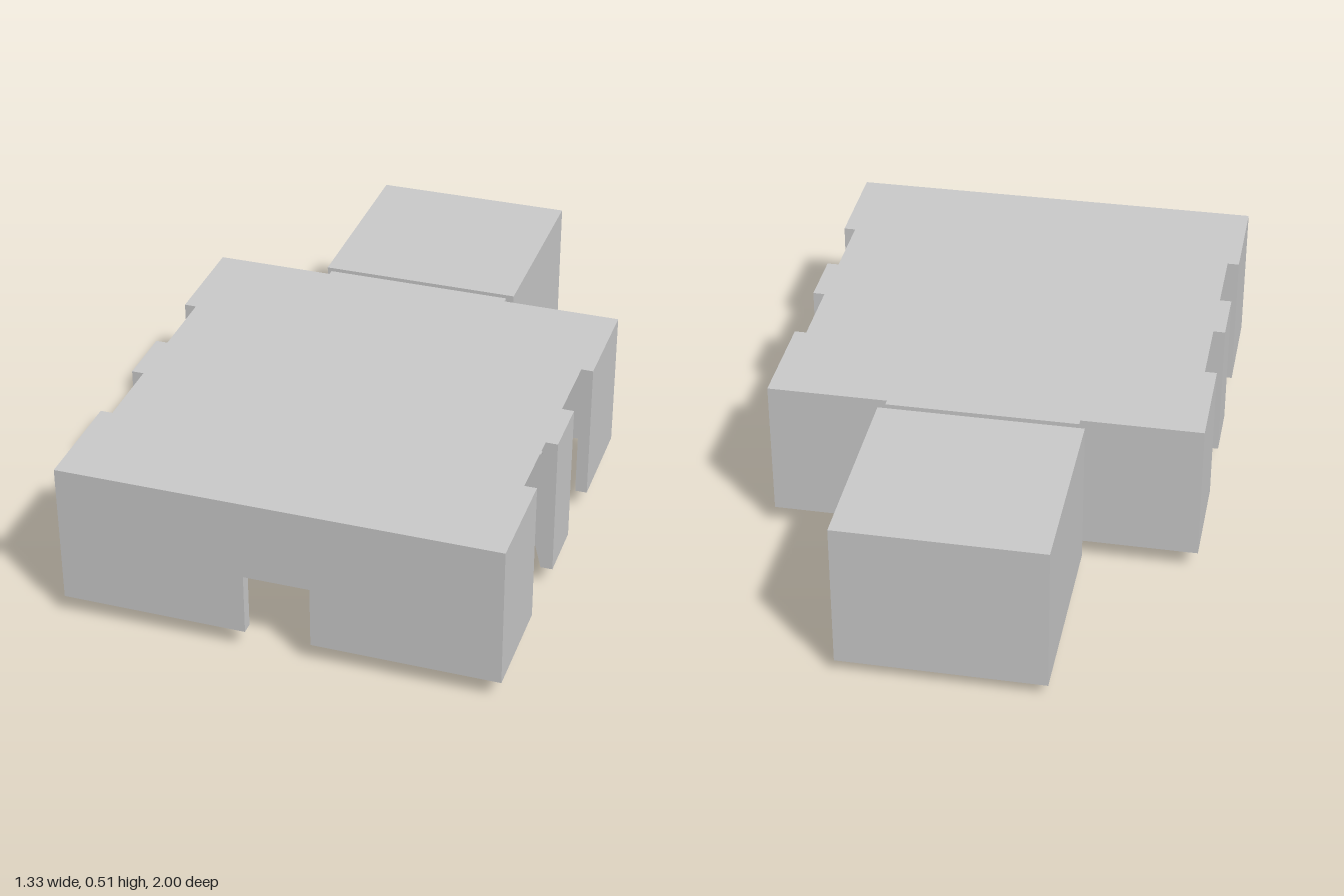
import * as THREE from 'three';

const material = new THREE.MeshStandardMaterial({ color: 0xcccccc, flatShading: true });
const thinMaterial = new THREE.MeshStandardMaterial({ color: 0xcccccc, side: THREE.DoubleSide });

const HALF = 0.667, WALL = 0.037, LOW = 0.065, TOP = 0.51;
const FRONT = 1, BACK = -0.333;

function add(parent, name, geometry, mat = material) {
  const mesh = new THREE.Mesh(geometry, mat);
  mesh.name = name;
  parent.add(mesh);
  return mesh;
}

// Box given by its limits on each axis
function block(parent, name, [x0, x1], [y0, y1], [z0, z1]) {
  const mesh = add(parent, name, new THREE.BoxGeometry(x1 - x0, y1 - y0, z1 - z0));
  mesh.position.set((x0 + x1) / 2, (y0 + y1) / 2, (z0 + z1) / 2);
  return mesh;
}

function outline(points) {
  return new THREE.Shape(points.map(([x, y]) => new THREE.Vector2(x, y)));
}

// Profile in x and y, extruded from z0 to z1
function slab(parent, name, shape, z0, z1) {
  const geometry = new THREE.ExtrudeGeometry(shape, { depth: z1 - z0, bevelEnabled: false, curveSegments: 8 });
  const mesh = add(parent, name, geometry);
  mesh.position.z = z0;
  return mesh;
}

export function createModel() {
  const model = new THREE.Group();
  model.name = 'cover';

  // Thin roof between the walls
  const roof = add(model, 'roof',
    new THREE.PlaneGeometry(2 * (HALF - WALL), FRONT - BACK - 2 * WALL), thinMaterial);
  roof.rotation.x = -Math.PI / 2;
  roof.position.set(0, TOP, (FRONT + BACK) / 2);

  // Front wall with a notch in its lower edge
  slab(model, 'frontWall', outline([
    [-HALF, LOW], [-0.1, LOW], [-0.1, 0.26], [0.1, 0.26], [0.1, LOW],
    [HALF, LOW], [HALF, TOP], [-HALF, TOP],
  ]), FRONT - WALL, FRONT);

  // Back wall with a window
  const backShape = outline([[-HALF, LOW], [HALF, LOW], [HALF, TOP], [-HALF, TOP]]);
  backShape.holes.push(outline([[-0.06, 0.19], [-0.06, 0.385], [0.06, 0.385], [0.06, 0.19]]));
  slab(model, 'backWall', backShape, BACK, BACK + WALL);

  for (const side of [-1, 1]) {
    const label = side > 0 ? 'left' : 'right';
    const wallX = side > 0 ? [HALF - WALL, HALF] : [-HALF, WALL - HALF];

    // Side walls, separated by open gaps
    block(model, label + 'FrontSideWall', wallX, [LOW, TOP], [0.667, FRONT - WALL]);
    block(model, label + 'BackSideWall', wallX, [LOW, TOP], [BACK + WALL, 0]);

    // Tapered clip between the gaps, with a pin hole near the top
    const clip = outline([
      [side * HALF, LOW], [side * HALF, TOP], [side * 0.535, TOP],
      [side * 0.535, 0.45], [side * 0.63, LOW],
    ]);
    const hole = new THREE.Path();
    hole.absarc(side * 0.615, 0.473, 0.007, 0, Math.PI * 2, true);
    clip.holes.push(hole);
    slab(model, label + 'Clip', clip, 0.238, 0.43);
  }

  // Small pad inside the right wall
  block(model, 'innerPad', [-HALF + WALL, -HALF + WALL + 0.008], [0.375, 0.415], [0.905, 0.95]);

  // Stepped neck joining the shell to the rear block
  block(model, 'neck', [-0.295, 0.295], [LOW, TOP], [-0.353, BACK]);
  block(model, 'neckStep', [-0.295, 0.295], [LOW, 0.45], [-0.375, -0.353]);

  // Rear block
  block(model, 'rearBlock', [-0.315, 0.315], [0.04, TOP], [-1, -0.373]);

  // Rounded peg under the rear block
  const r = 0.017, reach = 0.065 - r;
  const pegShape = new THREE.Shape();
  pegShape.absarc(reach, 0, r, -Math.PI / 2, Math.PI / 2, false);
  pegShape.absarc(-reach, 0, r, Math.PI / 2, Math.PI * 1.5, false);
  const peg = add(model, 'peg',
    new THREE.ExtrudeGeometry(pegShape, { depth: 0.04, bevelEnabled: false, curveSegments: 8 }));
  peg.rotation.x = -Math.PI / 2;
  peg.position.z = -0.54;

  return model;
}
